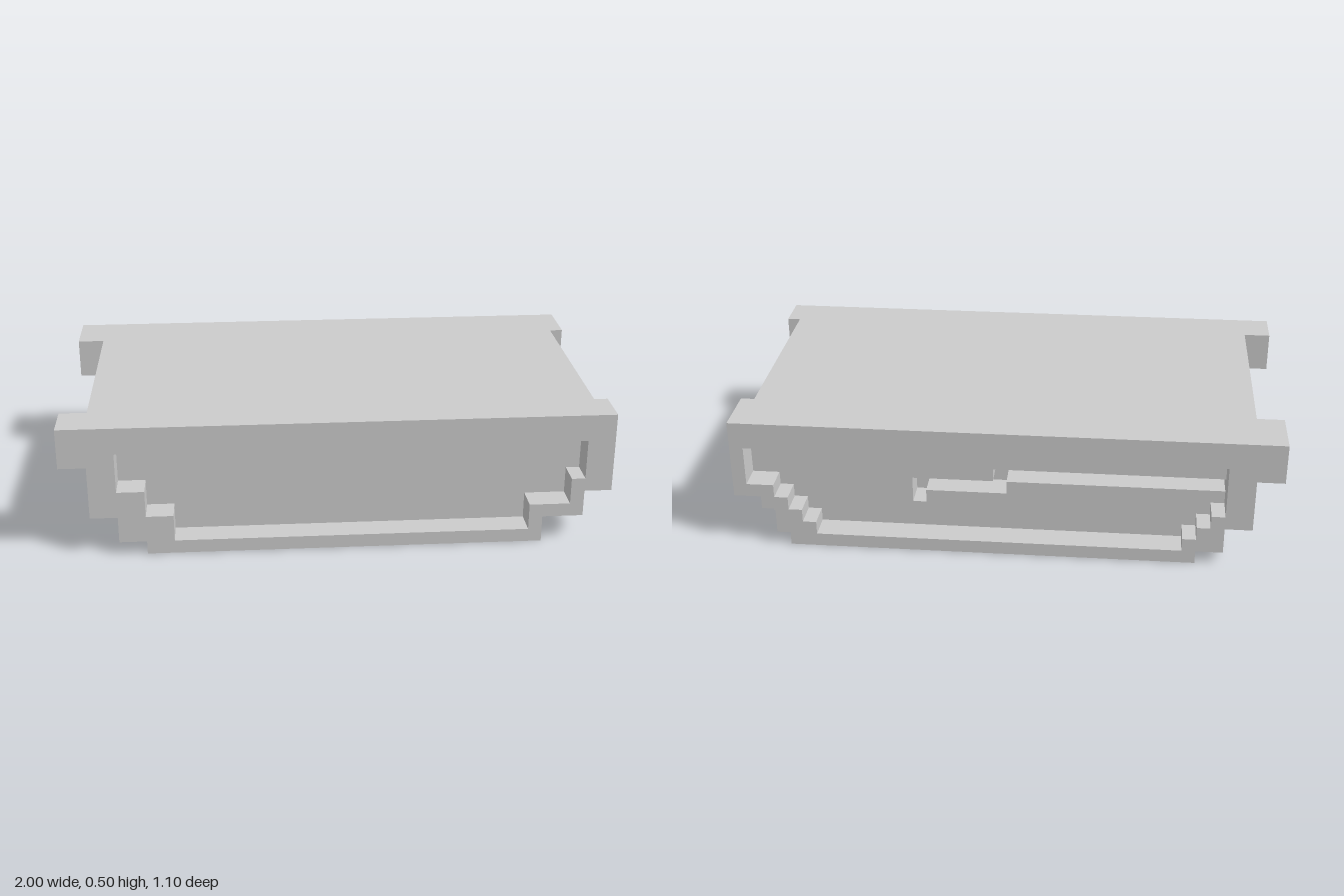
import * as THREE from 'three';

const material = new THREE.MeshStandardMaterial({ color: 0xcccccc, flatShading: true });

// Closed stepped outline. Each side lists [x, y where this step begins], from bottom to top.
function stepped(PathType, left, right, top) {
  const pts = [];
  const climb = (side) => side.flatMap(([x, y], i) => [[x, y], [x, i + 1 < side.length ? side[i + 1][1] : top]]);
  pts.push(...climb(right), ...climb(left).reverse());
  return new PathType(pts.map(([x, y]) => new THREE.Vector2(x, y)));
}

// One slab of the casing between two depths, with an optional opening through it.
function slab(name, outline, z0, z1, hole) {
  if (hole) outline.holes.push(hole);
  const geo = new THREE.ExtrudeGeometry(outline, { depth: z1 - z0, bevelEnabled: false });
  geo.translate(0, 0, z0);
  const mesh = new THREE.Mesh(geo, material);
  mesh.name = name;
  return mesh;
}

export function createModel() {
  const group = new THREE.Group();
  group.name = 'steppedCasing';
  const { Shape, Path } = THREE;
  const top = 0.5;

  // Left-hand (-x) steps of the rims and of the body between them
  const rimSide = [[-0.7, 0], [-0.8, 0.05], [-0.9, 0.15], [-1, 0.35]];
  const flangeSide = rimSide.slice(1);
  const bodySide = [[-0.8, 0.05], [-0.9, 0.15]];

  const frontOutline = () => stepped(Shape, rimSide, [[0.75, 0], [0.9, 0.1], [1, 0.2]], top);
  const backOutline = () => stepped(Shape, rimSide, [[0.8, 0], [0.85, 0.05], [0.9, 0.15], [1, 0.2]], top);
  const flangeOutline = () => stepped(Shape, flangeSide, [[0.9, 0.05], [1, 0.2]], top);
  const bodyOutline = stepped(Shape, bodySide, [[0.9, 0.05], [0.95, 0.2]], top);

  // Recess openings of the two rims
  const frontOpening = stepped(Path,
    [[-0.6, 0.05], [-0.7, 0.15], [-0.8, 0.25]],
    [[0.7, 0.05], [0.85, 0.15], [0.9, 0.25]], 0.4);
  const backOpening = stepped(Path,
    [[-0.65, 0.05], [-0.7, 0.1], [-0.75, 0.15], [-0.8, 0.2]],
    [[0.7, 0.05], [0.75, 0.1], [0.8, 0.15], [0.85, 0.2], [0.95, 0.25]], 0.4);

  // Stepped groove in the back panel
  const groove = () => new Path([
    [0.35, 0.15], [0.35, 0.25], [0.05, 0.25], [0.05, 0.3], [-0.8, 0.3],
    [-0.8, 0.25], [0, 0.25], [0, 0.2], [0.3, 0.2], [0.3, 0.15],
  ].map(([x, y]) => new THREE.Vector2(x, y)));

  group.add(
    slab('frontRim', frontOutline(), 0.45, 0.55, frontOpening),
    slab('frontFlange', flangeOutline(), 0.4, 0.45),
    slab('body', bodyOutline, -0.35, 0.4),
    slab('backFlange', flangeOutline(), -0.4, -0.35, groove()),
    slab('backPanel', backOutline(), -0.45, -0.4, groove()),
    slab('backRim', backOutline(), -0.55, -0.45, backOpening),
  );
  return group;
}
